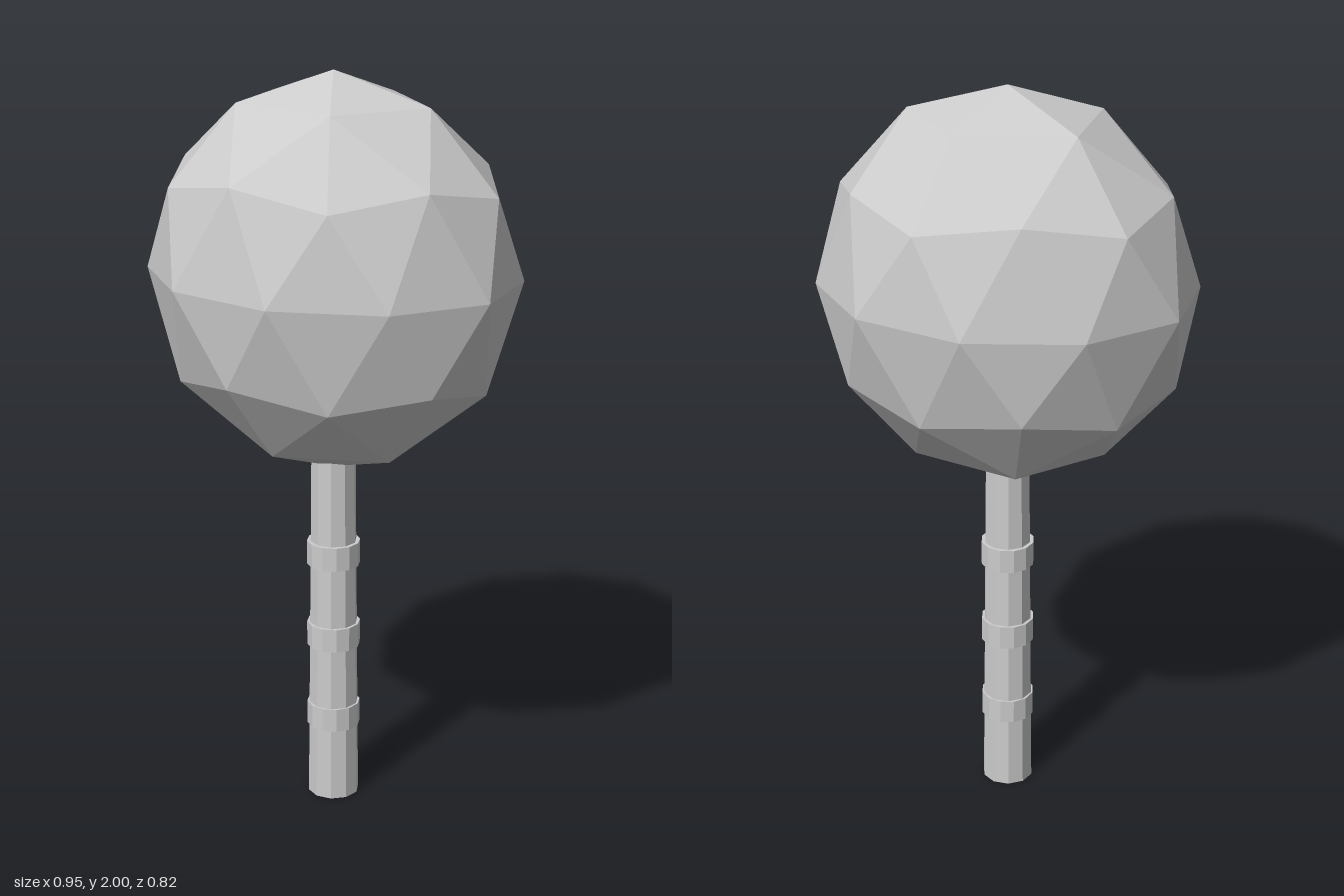
import * as THREE from 'three';

export function createModel() {
  const model = new THREE.Group();
  const gray = new THREE.MeshStandardMaterial({ color: 0xcccccc, flatShading: true });
  gray.name = 'plain gray';

  const add = (name, geometry, y) => {
    const mesh = new THREE.Mesh(geometry, gray);
    mesh.name = name;
    mesh.position.y = y;
    model.add(mesh);
  };

  // Faceted crown: icosphere turned so one corner points straight up, then squashed
  const golden = (1 + Math.sqrt(5)) / 2;
  const crown = new THREE.IcosahedronGeometry(1, 1);
  crown.rotateZ(-Math.atan(1 / golden));
  crown.scale(0.5, 0.525, 0.41);
  crown.computeVertexNormals();
  add('crown', crown, 1.475);

  // Tapered ten-sided trunk with a flat side facing front
  const trunk = new THREE.CylinderGeometry(0.06, 0.07, 1, 10);
  trunk.rotateY(Math.PI / 2);
  add('trunk', trunk, 0.5);

  // Raised bands around the trunk
  [0.237, 0.473, 0.708].forEach((y, i) => {
    add(`trunkBand${i + 1}`, new THREE.CylinderGeometry(0.072, 0.072, 0.066, 12), y);
  });

  return model;
}
